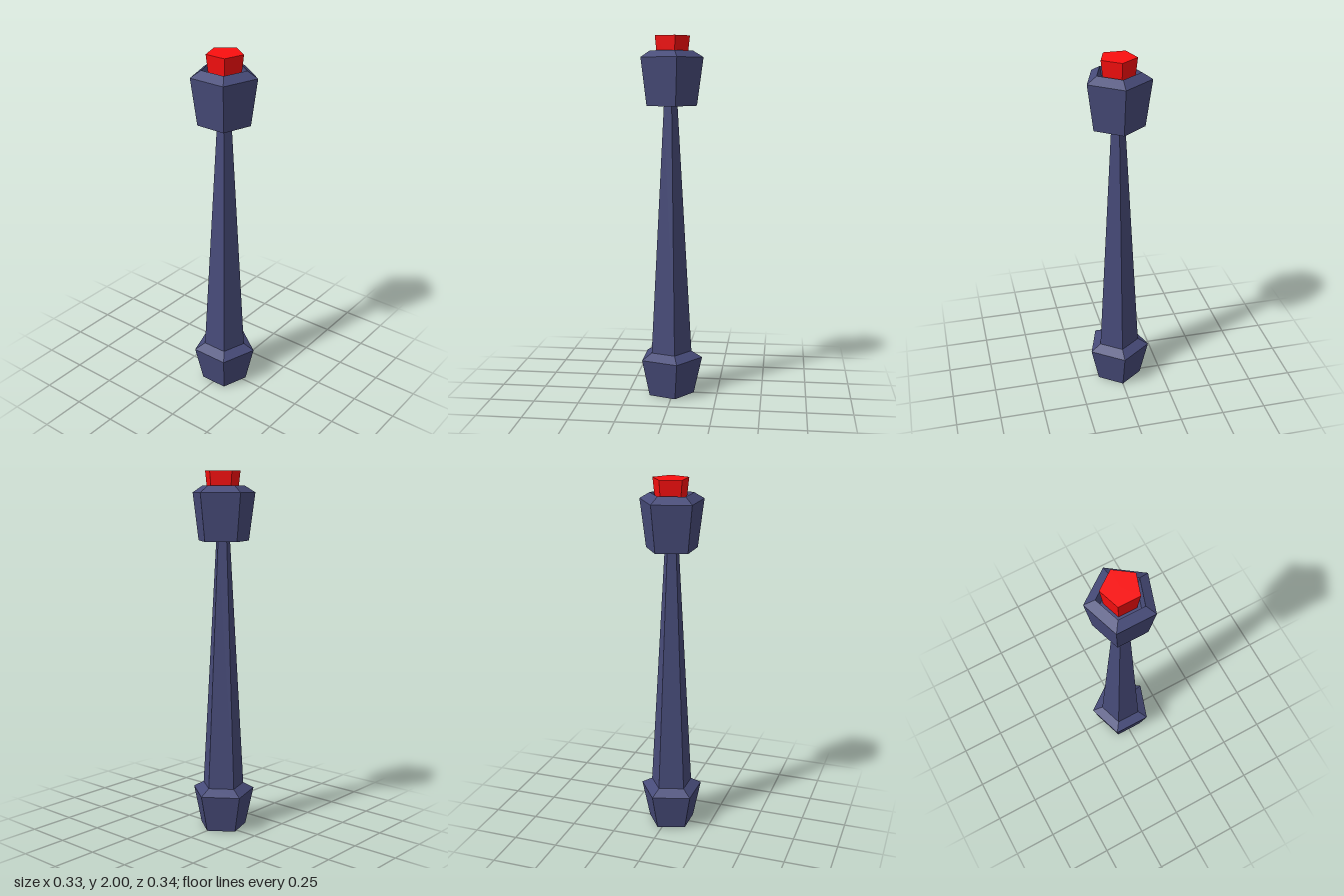
import * as THREE from 'three';

const SIDES = 5;
const AXIS_X = -0.017; // keeps the pentagon's bounding box centred

// Five-sided turned part; profile is [radius, height] from bottom to top
function turned(name, profile, color, x = AXIS_X) {
  const points = profile.map(([r, y]) => new THREE.Vector2(r, y));
  const geometry = new THREE.LatheGeometry(points, SIDES, Math.PI / 2);
  const material = new THREE.MeshStandardMaterial({ color, flatShading: true });
  const mesh = new THREE.Mesh(geometry, material);
  mesh.name = name;
  mesh.position.x = x;
  return mesh;
}

export function createModel() {
  const model = new THREE.Group();
  model.name = 'staff';
  const blue = 0x474b79;
  const red = 0xfa0f0f;

  // Flared pommel at the foot
  model.add(turned('pommel', [[0, 0], [0.134, 0], [0.181, 0.21], [0.12, 0.245], [0, 0.245]], blue));

  // Tapering shaft
  model.add(turned('shaft', [[0.12, 0.245], [0.04, 1.625]], blue));

  // Flared head with a bevelled rim and a recessed socket
  model.add(turned('head', [
    [0, 1.625], [0.146, 1.625], [0.181, 1.885], [0.123, 1.92], [0.106, 1.85], [0, 1.85],
  ], blue));

  // Red button set in the socket
  model.add(turned('button', [[0, 1.85], [0.084, 1.85], [0.101, 2], [0, 2]], red, -0.011));

  return model;
}
